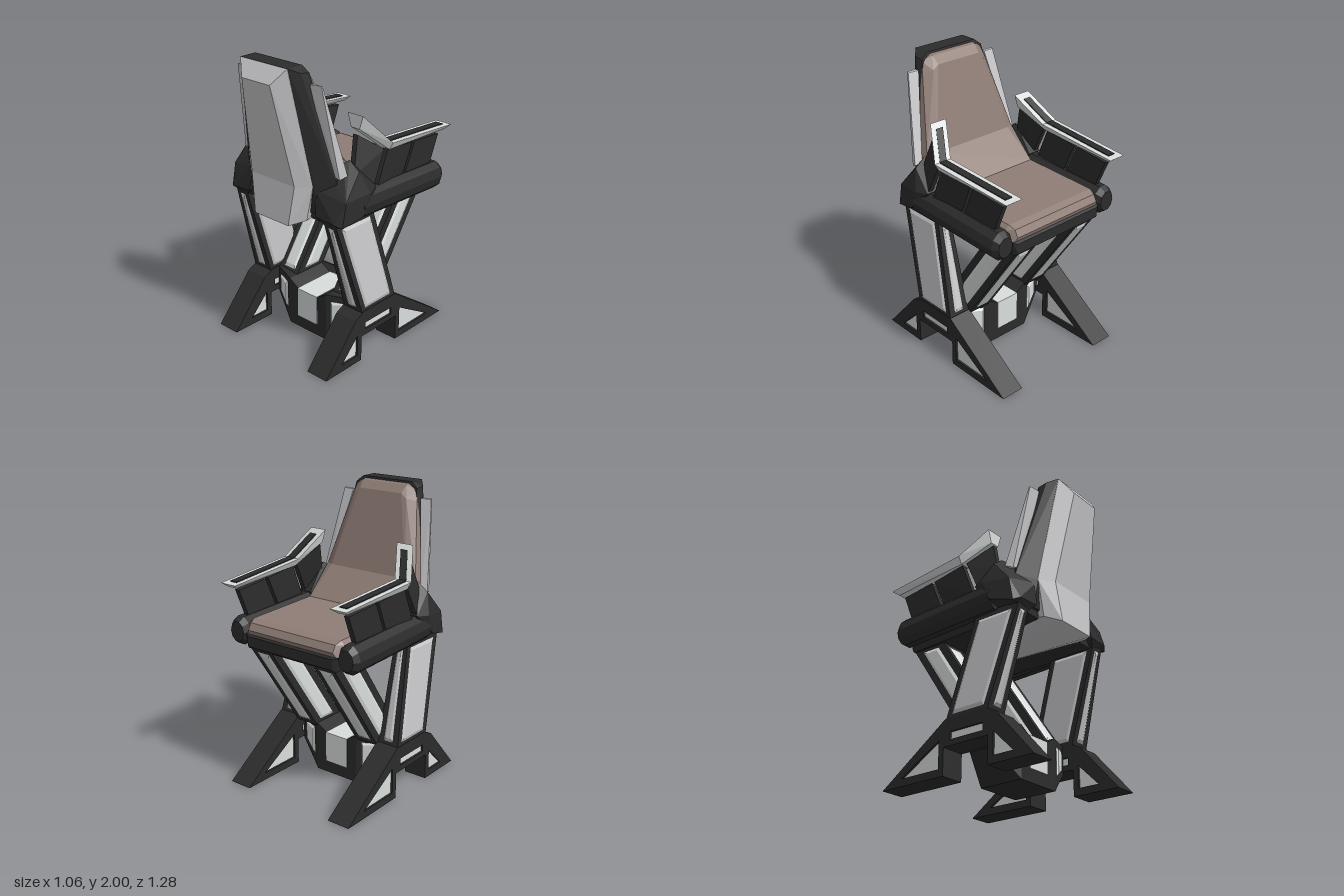
import * as THREE from 'three';
import { ConvexGeometry } from 'three/addons/geometries/ConvexGeometry.js';

const V = (p) => new THREE.Vector3(...p);

export function createModel() {
  const model = new THREE.Group();
  model.name = 'chair';
  const mat = (name, color) => Object.assign(new THREE.MeshStandardMaterial({ color }), { name });
  const black = mat('blackFrame', 0x2c2c2c);
  const pale = mat('paleMetal', 0xd9dedd);
  const silver = mat('silverShell', 0xc9c9cc);
  const brown = mat('brownUpholstery', 0x8f7d76);

  const add = (name, geo, material) => {
    const mesh = new THREE.Mesh(geo, material);
    mesh.name = name;
    model.add(mesh);
    return mesh;
  };
  // faceted solid around a few corner points [x, y, z]
  const hull = (name, material, pts, s = 1) =>
    add(name, new ConvexGeometry(pts.map(([x, y, z]) => new THREE.Vector3(x * s, y, z))), material);
  // the same, with every point mirrored across x = 0
  const symHull = (name, material, pts) =>
    hull(name, material, [...pts, ...pts.map(([x, y, z]) => [-x, y, z])]);

  // bevelled panel laid on a four-cornered face, inset by fractions u and v
  const panel = (name, material, corners, u, v, h, s) => {
    const [a, b, c, d] = corners.map(V);
    const at = (i, j) => a.clone().lerp(b, i).lerp(d.clone().lerp(c, i), j);
    const quad = (m, n) => [at(m, n), at(1 - m, n), at(1 - m, 1 - n), at(m, 1 - n)];
    const normal = b.clone().sub(a).cross(d.clone().sub(a)).normalize().multiplyScalar(h);
    const inner = quad(u * 1.35, v * 1.5);
    const pts = [...quad(u, v),
      ...inner.map((p) => p.clone().add(normal)), ...inner.map((p) => p.clone().sub(normal))];
    hull(name, material, pts.map((p) => p.toArray()), s);
  };

  // leg: top and bottom rectangles, with a panel on each of the four sides
  const leg = (name, top, bottom, material, outerInset, endInset, s) => {
    const ring = ([x0, x1, z0, z1, y]) => [[x0, y, z0], [x1, y, z0], [x1, y, z1], [x0, y, z1]];
    const t = ring(top), b = ring(bottom);
    hull(name, black, [...t, ...b], s);
    for (let i = 0; i < 4; i++) {
      const j = (i + 1) % 4;
      panel(name + 'Panel', material, [t[i], t[j], b[j], b[i]], i % 2 ? outerInset : endInset, 0.06, 0.009, s);
    }
  };

  // outline in (z, y) extruded across x, centred on x = cx
  const profile = (name, material, outline, holes, cx, width) => {
    const pts = (list) => list.map(([z, y]) => new THREE.Vector2(z, y));
    const shape = new THREE.Shape(pts(outline));
    holes.forEach((hole) => shape.holes.push(new THREE.Path(pts(hole))));
    const geo = new THREE.ExtrudeGeometry(shape, { depth: width, bevelEnabled: false });
    geo.rotateY(-Math.PI / 2).translate(cx + width / 2, 0, 0);
    add(name, geo, material);
  };

  // seat
  symHull('seatCushion', brown, [
    [0.36, 1.2, 0.06], [0.36, 1.185, -0.5], [0.385, 1.17, 0.1], [0.385, 1.16, -0.5],
    [0.35, 1.165, -0.545], [0.35, 1.12, -0.57], [0.38, 1.07, -0.55], [0.385, 1.07, 0.1]]);
  symHull('seatBase', black, [
    [0.38, 1.09, -0.56], [0.36, 0.99, -0.55], [0.4, 1.12, 0.4], [0.38, 1.0, 0.4],
    [0.35, 1.08, -0.575], [0.35, 1.01, -0.575]]);

  // backrest
  symHull('backrestFrame', black, [
    [0.2, 2, 0.57], [0.2, 2, 0.45], [0.25, 1.97, 0.51], [0.275, 1.88, 0.46], [0.25, 1.96, 0.44],
    [0.29, 1.24, 0.445], [0.4, 1.26, 0.36], [0.38, 1.2, 0.28], [0.36, 1.05, 0.3], [0.3, 1.05, 0.42]]);
  symHull('backrestCushion', brown, [
    [0.18, 1.995, 0.48], [0.18, 1.98, 0.42], [0.17, 1.93, 0.375], [0.25, 1.95, 0.45], [0.265, 1.88, 0.42],
    [0.21, 1.9, 0.375], [0.31, 1.4, 0.235], [0.37, 1.4, 0.27], [0.38, 1.38, 0.34]]);
  symHull('lumbarCushion', brown, [
    [0.31, 1.4, 0.235], [0.37, 1.4, 0.27], [0.38, 1.38, 0.34],
    [0.36, 1.2, 0.055], [0.385, 1.18, 0.08], [0.385, 1.15, 0.3]]);

  // rear shell and the keel running forward beneath the seat
  const waist = [[0.19, 1.24, 0.52], [0.28, 1.24, 0.45], [0.25, 1.24, 0.36]];
  symHull('backShellUpper', silver, [
    [0.2, 2, 0.572], [0.12, 1.9, 0.64], [0.2, 1.98, 0.53], ...waist]);
  symHull('backShellLower', silver, [
    ...waist, [0.15, 0.97, 0.54], [0.225, 1, 0.45], [0.2, 1, 0.36]]);
  symHull('underKeel', silver, [
    [0.15, 0.97, 0.54], [0.225, 1, 0.45], [0.2, 1.04, 0.4], [0.03, 0.925, -0.3], [0.16, 1.02, -0.32]]);

  for (const s of [-1, 1]) {
    // side wings of the backrest
    hull('backWing', silver, [
      [0.28, 1.9, 0.47], [0.36, 1.905, 0.455], [0.36, 1.9, 0.445], [0.28, 1.9, 0.44],
      [0.36, 1.32, 0.37], [0.42, 1.3, 0.36], [0.44, 1.32, 0.31], [0.39, 1.32, 0.3]], s);

    // rounded side bolster and rear shoulder
    const bolster = [];
    for (const [z, k] of [[-0.57, 0.7], [-0.53, 1], [0.25, 1]])
      for (let i = 0; i < 10; i++) {
        const a = (i / 10) * Math.PI * 2, lift = z > 0 ? 0.025 : 0;
        bolster.push([0.45 + Math.cos(a) * 0.082 * k, 1.09 + lift + Math.sin(a) * 0.1 * k, z]);
      }
    hull('sideBolster', black, bolster, s);
    hull('rearShoulder', black, [
      [0.53, 1.2, 0.2], [0.53, 1.06, 0.26], [0.5, 1.21, 0.11], [0.4, 1.21, 0.11], [0.5, 1.02, 0.42],
      [0.5, 1.18, 0.39], [0.48, 1.34, 0.25], [0.4, 1.4, 0.25], [0.38, 1.38, 0.28], [0.35, 1.29, 0.36],
      [0.28, 1.22, 0.43], [0.3, 1.05, 0.45], [0.46, 1.04, 0.45], [0.35, 1, 0.42], [0.38, 1.04, 0.2]], s);

    // three upright arm panels, separated by slits
    const uprights = [
      [[0.42, 1.3, 0.25], [0.38, 1.54, 0.175], [0.46, 1.425, 0.015], [0.47, 1.22, 0.115]],
      [[0.465, 1.17, 0.085], [0.465, 1.42, -0.015], [0.455, 1.39, -0.275], [0.45, 1.17, -0.18]],
      [[0.45, 1.17, -0.205], [0.455, 1.39, -0.3], [0.447, 1.37, -0.56], [0.445, 1.15, -0.47]]];
    uprights.forEach((q) => hull('armPanel', black,
      [...q.map(([x, y, z]) => [x - 0.018, y, z]), ...q.map(([x, y, z]) => [x + 0.018, y, z])], s));

    // arm rail: tapered section swept through three stations [centre x, top y, z, depth]
    const stations = [[0.447, 1.425, -0.64, 0.03], [0.465, 1.47, -0.01, 0.05], [0.36, 1.66, 0.155, 0.09]];
    const section = ([x, y, z, d], end) => [[x - 0.063, y, z], [x + 0.063, y, z],
      [x - 0.035, y - d, z + end * 0.04], [x + 0.035, y - d, z + end * 0.04]];
    const strip = [[0.447, 1.432, -0.59], [0.465, 1.473, -0.015], [0.379, 1.628, 0.12]];
    for (let i = 0; i < 2; i++) {
      hull('armRail', pale, [...section(stations[i], i ? 0 : 1), ...section(stations[i + 1], 0)], s);
      const pts = [];
      for (const [x, y, z] of [strip[i], strip[i + 1]])
        for (const dx of [-0.027, 0.027]) pts.push([x + dx, y + 0.003, z], [x + dx, y - 0.005, z]);
      hull('railInlay', black, pts, s);
    }

    // crossed legs: [x0, x1, z0, z1, y]
    leg('outerLeg', [0.35, 0.45, 0.08, 0.43, 1.03], [0.35, 0.51, -0.1, 0.23, 0.34], silver, 0.12, 0.28, s);
    leg('innerLeg', [0.17, 0.35, -0.56, -0.3, 1.01], [0.17, 0.35, -0.1, 0.16, 0.33], pale, 0.24, 0.22, s);

    // splayed foot with recessed panels
    const holes = [
      [[0.43, 0.05], [0.28, 0.05], [0.28, 0.2]],
      [[-0.15, 0.05], [-0.46, 0.05], [-0.15, 0.23]],
      [[0.2, 0.22], [-0.06, 0.22], [-0.06, 0.27], [0.2, 0.27]]];
    profile('foot', black, [[0.58, 0], [0.3, 0.32], [0.22, 0.36], [-0.1, 0.36], [-0.62, 0],
      [-0.11, 0], [-0.11, 0.18], [0.24, 0.18], [0.24, 0]], holes, s * 0.427, 0.167);
    holes.forEach((hole) => profile('footPanel', pale, hole, [], s * 0.427, 0.14));

    // hub sides with front and rear panels
    const side = [];
    for (const [x, y] of [[0.09, 0.08], [0.09, 0.3], [0.17, 0], [0.17, 0.35]])
      side.push([x, y, 0.22], [x, y, -0.1]);
    for (const y of [0.17, 0.36]) side.push([0.36, y, 0.15], [0.36, y, -0.03]);
    hull('hubSide', black, side, s);
    for (const [z0, z1] of [[0.22, 0.15], [-0.1, -0.03]])
      panel('hubSidePanel', pale, [[0.18, 0.34, z0], [0.34, 0.34, z1], [0.34, 0.17, z1], [0.18, 0.05, z0]],
        0.16, 0.13, 0.012, s);
  }

  // hub centre with a pale band wrapping its front, top and rear
  symHull('hubCentre', black, [
    [0.17, 0, 0.22], [0.17, 0, -0.1], [0.09, 0.29, 0.22], [0.09, 0.29, -0.1]]);
  const band = new THREE.BoxGeometry(0.18, 0.215, 0.332);
  add('hubBand', band, pale).position.set(0, 0.195, 0.06);

  return model;
}
